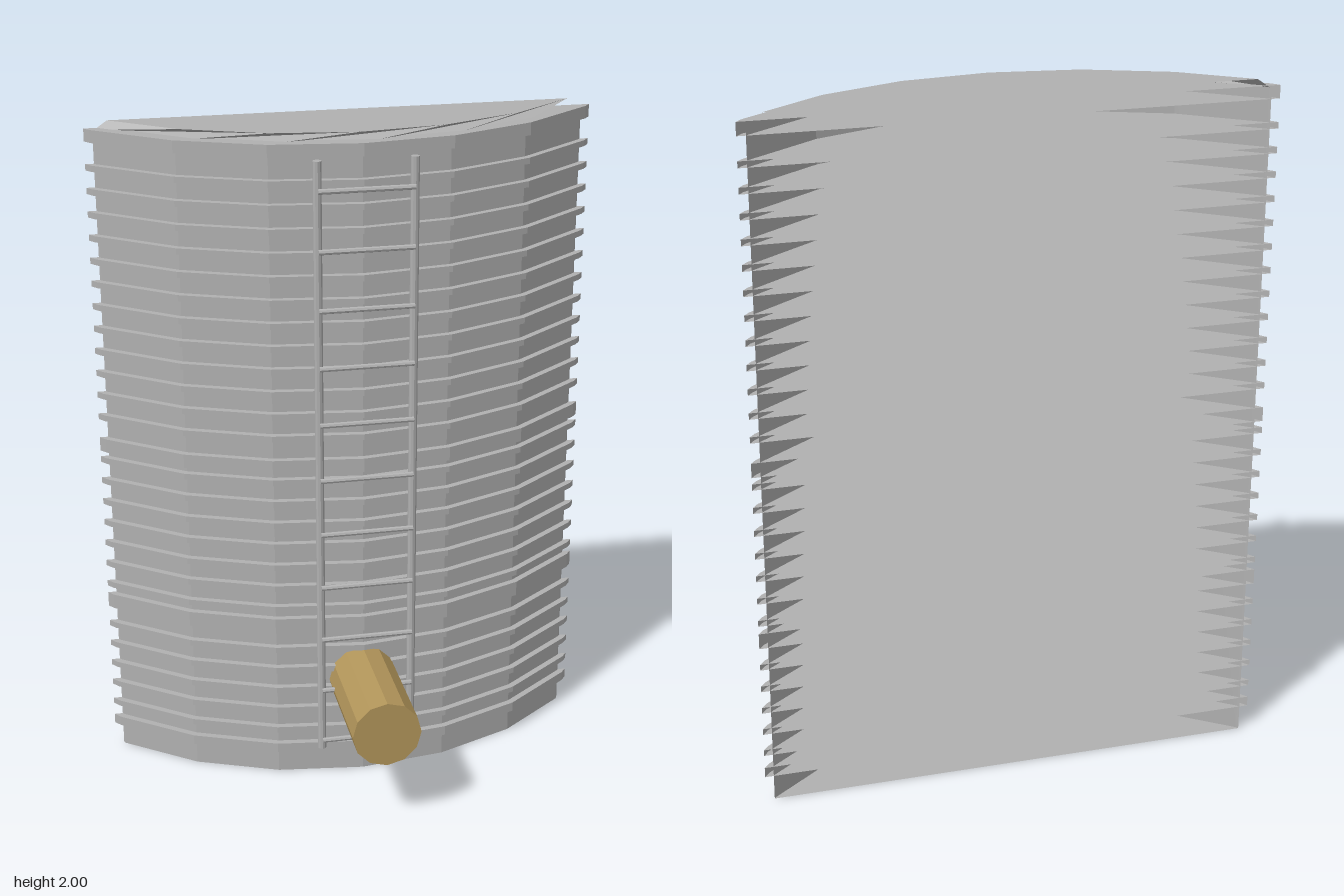
import * as THREE from 'three';

const STEP = Math.PI / 12; // 24-sided tank
const CENTRE_Z = -1.025;   // axis of the full tank
const BACK_Z = -0.325;     // plane where the tank is cut open

// Front part of a 24-gon of radius r, clipped at the back plane
function section(r) {
  const ring = [];
  for (let i = -4; i <= 4; i++) {
    ring.push([r * Math.sin(i * STEP), CENTRE_Z + r * Math.cos(i * STEP)]);
  }
  const out = [];
  ring.forEach((p, i) => {
    const q = ring[i + 1];
    if (p[1] >= BACK_Z) out.push(p);
    if (q && (p[1] >= BACK_Z) !== (q[1] >= BACK_Z)) {
      const t = (BACK_Z - p[1]) / (q[1] - p[1]);
      out.push([p[0] + t * (q[0] - p[0]), BACK_Z]);
    }
  });
  return out;
}

// Curved wall between two heights with optional end caps; open at the back
function slab(y0, y1, r0, r1, bottom = true, top = true) {
  const a = section(r0), b = section(r1), pos = [];
  const tri = (...v) => v.forEach(([p, y]) => pos.push(p[0], y, p[1]));
  const n = Math.min(a.length, b.length);
  for (let i = 0; i < n - 1; i++) {
    tri([a[i], y0], [a[i + 1], y0], [b[i + 1], y1]);
    tri([a[i], y0], [b[i + 1], y1], [b[i], y1]);
  }
  if (bottom) for (let i = 1; i < a.length - 1; i++) tri([a[0], y0], [a[i + 1], y0], [a[i], y0]);
  if (top) for (let i = 1; i < b.length - 1; i++) tri([b[0], y1], [b[i], y1], [b[i + 1], y1]);
  const g = new THREE.BufferGeometry();
  g.setAttribute('position', new THREE.Float32BufferAttribute(pos, 3));
  g.computeVertexNormals();
  return g;
}

export function createModel() {
  const model = new THREE.Group();
  model.name = 'tankFront';
  const steel = new THREE.MeshStandardMaterial({ color: 0xb0b0b0, side: THREE.DoubleSide, flatShading: true });
  steel.name = 'grey steel';
  const brass = new THREE.MeshStandardMaterial({ color: 0xb2955a, flatShading: true });
  brass.name = 'tan pipe';

  const add = (parent, name, geometry, material) => {
    const mesh = new THREE.Mesh(geometry, material);
    mesh.name = name;
    parent.add(mesh);
    return mesh;
  };

  // Tank wall and bevelled lid
  add(model, 'tankWall', slab(0, 1.975, 1, 1, true, false), steel);
  add(model, 'lid', slab(1.975, 2, 0.995, 0.972, false, true), steel);

  // Thick hoops, then evenly spaced thin ribs
  const ribs = new THREE.Group();
  ribs.name = 'ribs';
  model.add(ribs);
  const hoops = [[0.075, 0.105], [0.487, 0.533], [1.005, 1.047], [1.943, 1.98]];
  hoops.forEach(([y0, y1]) => add(ribs, 'hoop', slab(y0, y1, 1.02, 1.02), steel));
  for (let i = 0; i < 26; i++) {
    const y = 0.154 + i * 0.0686;
    if (hoops.some(([y0, y1]) => y > y0 - 0.01 && y < y1 + 0.01)) continue;
    add(ribs, 'rib', slab(y - 0.009, y + 0.009, 1.02, 1.02), steel);
  }

  // Ladder
  const ladder = new THREE.Group();
  ladder.name = 'ladder';
  model.add(ladder);
  for (const side of [-1, 1]) {
    const rail = add(ladder, 'rail', new THREE.CylinderGeometry(0.0125, 0.0125, 1.83, 10), steel);
    rail.position.set(side * 0.137, 1.03, 0.022);
  }
  for (let i = 0; i < 11; i++) {
    const rung = add(ladder, 'rung', new THREE.CylinderGeometry(0.008, 0.008, 0.274, 8), steel);
    rung.rotation.z = Math.PI / 2;
    rung.position.set(0, 0.145 + i * 0.1716, 0.034);
  }

  // Outlet pipe
  const pipe = add(model, 'outletPipe', new THREE.CylinderGeometry(0.102, 0.102, 0.36, 12), brass);
  pipe.rotation.x = Math.PI / 2;
  pipe.position.set(0, 0.315, 0.145);

  return model;
}
